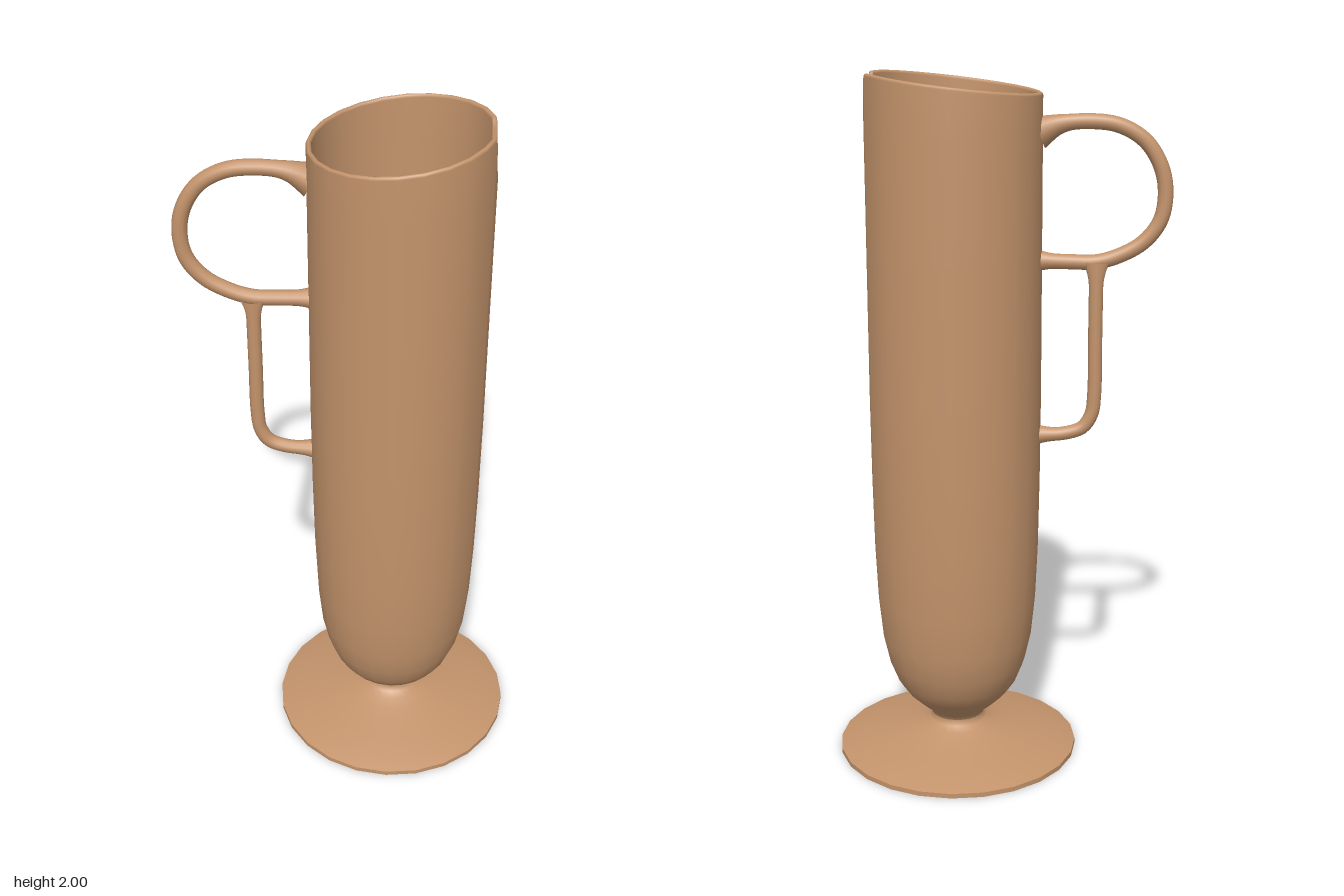
import * as THREE from 'three';

const AXIS_X = 0.125; // the vessel stands off-centre, the handle balances it
const SIDES = 24;

const clay = new THREE.MeshStandardMaterial({ color: 0xc4946c });
clay.name = 'clay';

// Half of the spout notch: [z, rim height]
const NOTCH = [[0, 1.866], [0.015, 1.869], [0.03, 1.879], [0.04, 1.893], [0.047, 1.912],
  [0.052, 1.94], [0.056, 1.97], [0.06, 1.988], [0.067, 1.997]];

// Outer wall: [radius, height]
const OUTER = [[0.075, 0.1], [0.082, 0.118], [0.115, 0.146], [0.15, 0.18], [0.178, 0.22], [0.202, 0.28],
  [0.22, 0.36], [0.232, 0.48], [0.239, 0.64], [0.243, 0.85], [0.245, 1.1], [0.245, 1.5], [0.245, 1.84]];
const INNER = [[0.231, 1.84], [0.231, 1.5], [0.231, 1.1], [0.229, 0.85], [0.225, 0.64], [0.218, 0.48],
  [0.205, 0.36], [0.187, 0.28], [0.163, 0.22], [0.132, 0.18], [0.08, 0.148], [0.001, 0.136]];
// Rounded lip: [radius, drop below the rim height]
const LIP = [[0.245, 0.008], [0.243, 0.002], [0.238, 0], [0.233, 0.002], [0.231, 0.008]];

// Double-walled cup with a slanted rim and a spout notch
function cupGeometry() {
  const R = 0.245;
  const columns = [];
  for (let i = NOTCH.length - 1; i > 0; i--) columns.push([-Math.asin(NOTCH[i][0] / R), NOTCH[i][1]]);
  for (const [z, h] of NOTCH) columns.push([Math.asin(z / R), h]);
  for (let i = 2; i <= SIDES - 2; i++) {
    const a = (i / SIDES) * Math.PI * 2;
    columns.push([a, 1.945 + (R + R * Math.cos(a)) * 0.113]);
  }
  const n = columns.length;
  const rows = [
    ...OUTER.map(([r, y]) => [r, () => y]),
    ...LIP.map(([r, d]) => [r, (h) => h - d]),
    ...INNER.map(([r, y]) => [r, () => y]),
  ];
  const positions = [], index = [];
  rows.forEach(([r, height], j) => {
    columns.forEach(([a, h], i) => {
      positions.push(r * Math.cos(a), height(h), r * Math.sin(a));
      if (j === rows.length - 1) return;
      const p = j * n + i, q = j * n + ((i + 1) % n);
      index.push(p, p + n, q, q, p + n, q + n);
    });
  });
  const geometry = new THREE.BufferGeometry();
  geometry.setAttribute('position', new THREE.Float32BufferAttribute(positions, 3));
  geometry.setIndex(index);
  geometry.computeVertexNormals();
  return geometry;
}

// Round bar along a path in the XY plane, with a radius that varies from 0 to 1 along it
function bar(points, segments, radiusAt) {
  const curve = new THREE.CatmullRomCurve3(points.map(([x, y]) => new THREE.Vector3(x, y, 0)));
  const ring = 12;
  const geometry = new THREE.TubeGeometry(curve, segments, 1, ring, false);
  const pos = geometry.attributes.position;
  const v = new THREE.Vector3();
  for (let i = 0; i <= segments; i++) {
    const centre = curve.getPointAt(i / segments);
    for (let k = 0; k <= ring; k++) {
      const id = i * (ring + 1) + k;
      v.fromBufferAttribute(pos, id).sub(centre).multiplyScalar(radiusAt(i / segments)).add(centre);
      pos.setXYZ(id, v.x, v.y, v.z);
    }
  }
  return geometry;
}

// Extra radius fading out over a given share of the path
const flare = (t, share, extra) => extra * Math.max(0, 1 - t / share) ** 2;

export function createModel() {
  const model = new THREE.Group();
  const add = (name, geometry, x = 0, y = 0) => {
    const mesh = new THREE.Mesh(geometry, clay);
    mesh.name = name;
    mesh.position.set(x, y, 0);
    model.add(mesh);
  };

  add('cup', cupGeometry(), AXIS_X);

  // Foot: flat disc rim with a flared top rising to the neck
  add('footRim', new THREE.CylinderGeometry(0.355, 0.355, 0.014, SIDES), AXIS_X, 0.007);
  const foot = [[0.355, 0.014], [0.31, 0.028], [0.25, 0.041], [0.19, 0.054], [0.14, 0.066],
    [0.105, 0.077], [0.085, 0.089], [0.076, 0.1], [0.079, 0.113]];
  add('foot', new THREE.LatheGeometry(foot.map(([r, y]) => new THREE.Vector2(r, y)), SIDES), AXIS_X);

  // Upper finger loop
  add('handleLoop', bar([[-0.11, 1.838], [-0.17, 1.86], [-0.25, 1.867], [-0.33, 1.856], [-0.4, 1.815],
    [-0.445, 1.745], [-0.459, 1.67], [-0.446, 1.595], [-0.4, 1.535], [-0.33, 1.496], [-0.27, 1.48],
    [-0.2, 1.48], [-0.11, 1.483]], 64,
  (t) => 0.0215 + flare(t, 0.12, 0.026) + flare(1 - t, 0.06, 0.009)));

  // Lower grip, running down from the loop and back to the cup
  add('handleGrip', bar([[-0.272, 1.48], [-0.272, 1.4], [-0.272, 1.25], [-0.272, 1.1], [-0.265, 1.04],
    [-0.24, 1.0], [-0.19, 0.982], [-0.11, 0.977]], 48,
  (t) => 0.02 + flare(t, 0.12, 0.018) + flare(1 - t, 0.1, 0.009)));

  return model;
}
